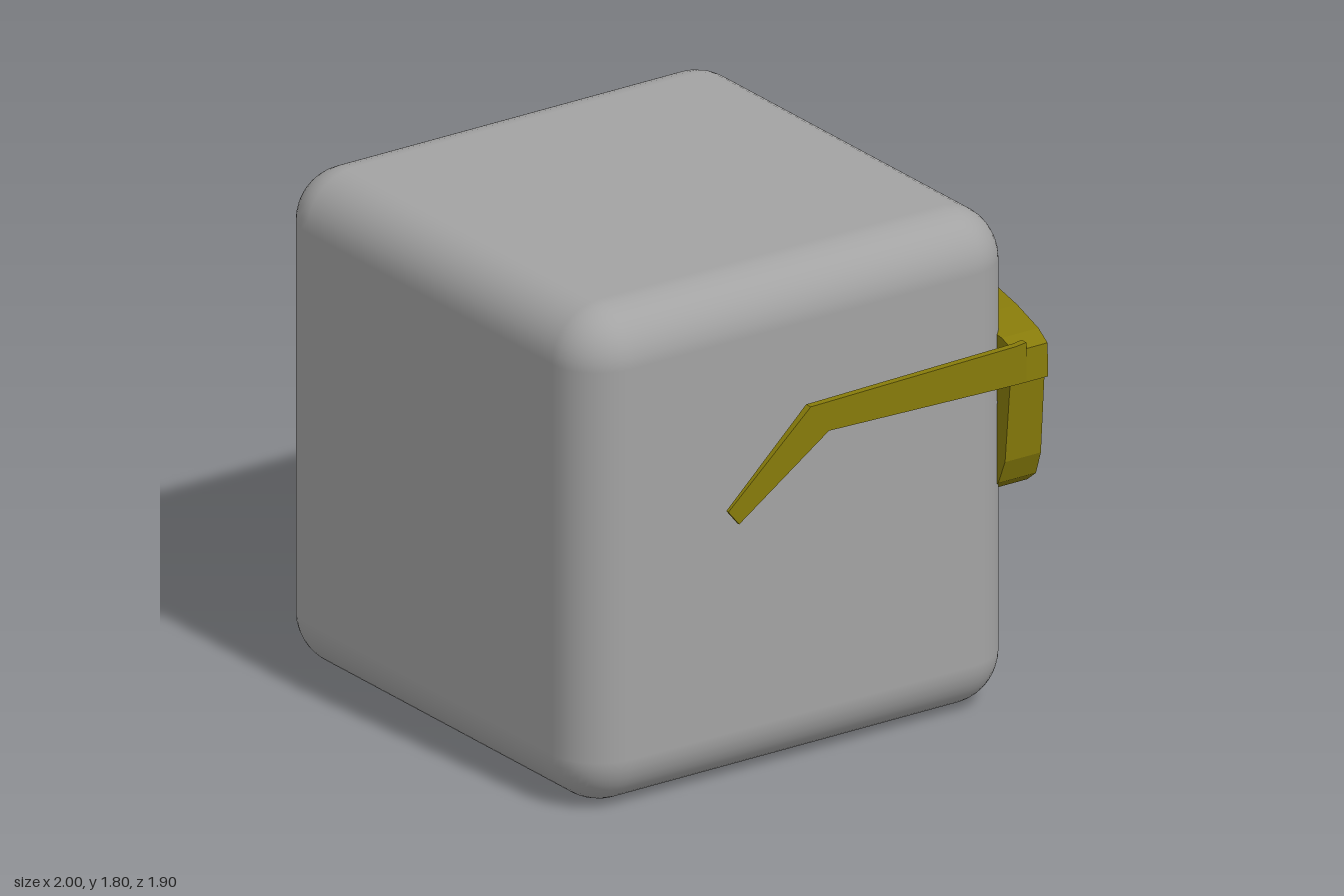
import * as THREE from 'three';
import { RoundedBoxGeometry } from 'three/addons/geometries/RoundedBoxGeometry.js';

// Curved front and back of the frame; u is the distance sideways from the bridge.
const frontX = (u) => 1 - 0.13 * Math.pow(Math.abs(u) / 0.95, 1.6);
const backX = (u) => Math.max(0.735, Math.min(0.865, 0.865 - 0.33 * (Math.abs(u) - 0.08)));

// Half outline of the frame (u, y), from top of bridge round to its underside.
const OUTLINE = [
  [0.07, 1.31], [0.2, 1.345], [0.3, 1.365], [0.47, 1.38], [0.7, 1.365], [0.87, 1.345],
  [0.945, 1.32], [0.95, 1.2], [0.92, 1.2], [0.91, 1.1], [0.89, 0.9], [0.85, 0.81],
  [0.78, 0.76], [0.68, 0.72], [0.5, 0.715], [0.37, 0.725], [0.27, 0.78], [0.19, 0.87],
  [0.14, 0.97], [0.1, 1.08], [0.055, 1.165],
];
// Lens opening, split into inner and outer edges from top to bottom.
const INNER = [
  [0.48, 1.34], [0.3, 1.33], [0.2, 1.31], [0.15, 1.28], [0.12, 1.23], [0.125, 1.15],
  [0.16, 1.02], [0.2, 0.92], [0.27, 0.83], [0.35, 0.77], [0.45, 0.745],
];
const OUTER = [
  [0.48, 1.34], [0.7, 1.33], [0.8, 1.31], [0.84, 1.26], [0.845, 1.1], [0.83, 0.93],
  [0.8, 0.84], [0.74, 0.78], [0.6, 0.745],
];

const toPoints = (list, side = 1) => list.map(([u, y]) => new THREE.Vector2(side * u, y));

// Sideways position of an edge at height y.
function edgeAt(edge, y) {
  for (let i = 1; i < edge.length; i++) {
    const [u0, y0] = edge[i - 1], [u1, y1] = edge[i];
    if (y >= y1) return u0 + (u1 - u0) * Math.min(1, Math.max(0, (y0 - y) / (y0 - y1)));
  }
  return edge[edge.length - 1][0];
}

// Move every vertex by a rule and return flat-shaded geometry.
function reshape(geometry, rule) {
  const g = geometry.index ? geometry.toNonIndexed() : geometry;
  const p = g.attributes.position;
  for (let i = 0; i < p.count; i++) p.setXYZ(i, ...rule(p.getX(i), p.getY(i), p.getZ(i)));
  g.computeVertexNormals();
  return g;
}

function frameGeometry() {
  const shape = new THREE.Shape([
    new THREE.Vector2(0, 1.31), ...toPoints(OUTLINE),
    new THREE.Vector2(0, 1.18), ...toPoints(OUTLINE, -1).reverse(),
  ]);
  const opening = [...OUTER, ...INNER.slice(1).reverse()];
  for (const side of [1, -1]) shape.holes.push(new THREE.Path(toPoints(opening, side)));
  const g = new THREE.ExtrudeGeometry(shape, { depth: 1, bevelEnabled: false });
  return reshape(g, (u, y, w) => [w > 0.5 ? frontX(u) : backX(u), y, -u]);
}

// Louvre sloping forward towards its lower edge, fitted to the lens opening.
function slatGeometry(top, bottom, side, span) {
  const g = new THREE.BoxGeometry(1, 1, 1, 8, 1, 1);
  return reshape(g, (a, b, c) => {
    const y = b > 0 ? top : bottom;
    const ends = [edgeAt(INNER, y) - 0.015, edgeAt(OUTER, y) + 0.015];
    const [inner, outer] = span ?? ends;
    const u = inner + (outer - inner) * (0.5 + side * a);
    const x = frontX(u) - (b > 0 ? 0.095 : 0.05) - (c > 0 ? 0 : 0.03);
    return [x, y, -side * u];
  });
}

// Arm with a bent tip, thinning a little towards the end.
function templeGeometry(side) {
  const shape = new THREE.Shape([
    [0.78, 1.345], [0.74, 1.34], [-0.11, 1.325], [-0.445, 1.02],
    [-0.4, 0.965], [-0.035, 1.22], [0.74, 1.2], [0.78, 1.2],
  ].map(([x, y]) => new THREE.Vector2(x, y)));
  const g = new THREE.ExtrudeGeometry(shape, { depth: 1, bevelEnabled: false });
  return reshape(g, (x, y, w) => {
    const half = x < -0.2 ? 0.006 : 0.0135;
    return [x, y, side * 0.9365 + (w - 0.5) * 2 * half];
  });
}

export function createModel() {
  const grey = new THREE.MeshStandardMaterial({ color: 0xa3a3a3 });
  grey.name = 'grey';
  const olive = new THREE.MeshStandardMaterial({ color: 0x877b0a });
  olive.name = 'olive';

  const model = new THREE.Group();
  model.name = 'cubeWithGlasses';
  const add = (parent, name, geometry, material) => {
    const mesh = new THREE.Mesh(geometry, material);
    mesh.name = name;
    parent.add(mesh);
    return mesh;
  };

  // Rounded block
  add(model, 'block', new RoundedBoxGeometry(1.8, 1.8, 1.8, 5, 0.19), grey)
    .position.set(-0.1, 0.9, -0.01);

  // Shutter glasses
  const glasses = new THREE.Group();
  glasses.name = 'glasses';
  model.add(glasses);
  add(glasses, 'frame', frameGeometry(), olive);

  const edges = [1.335, 1.29, 1.18, 1.09, 0.995, 0.905, 0.81];
  for (const side of [1, -1]) {
    const label = side > 0 ? 'right' : 'left';
    for (let i = 1; i < edges.length; i++) {
      add(glasses, `${label}Slat${i}`, slatGeometry(edges[i - 1], edges[i], side), olive);
    }
    // Short bottom slat leaves a gap at the outer corner
    add(glasses, `${label}BottomSlat`, slatGeometry(0.81, 0.745, side, [0.3, 0.66]), olive);
    add(glasses, `${label}Temple`, templeGeometry(-side), olive);
  }
  return model;
}
